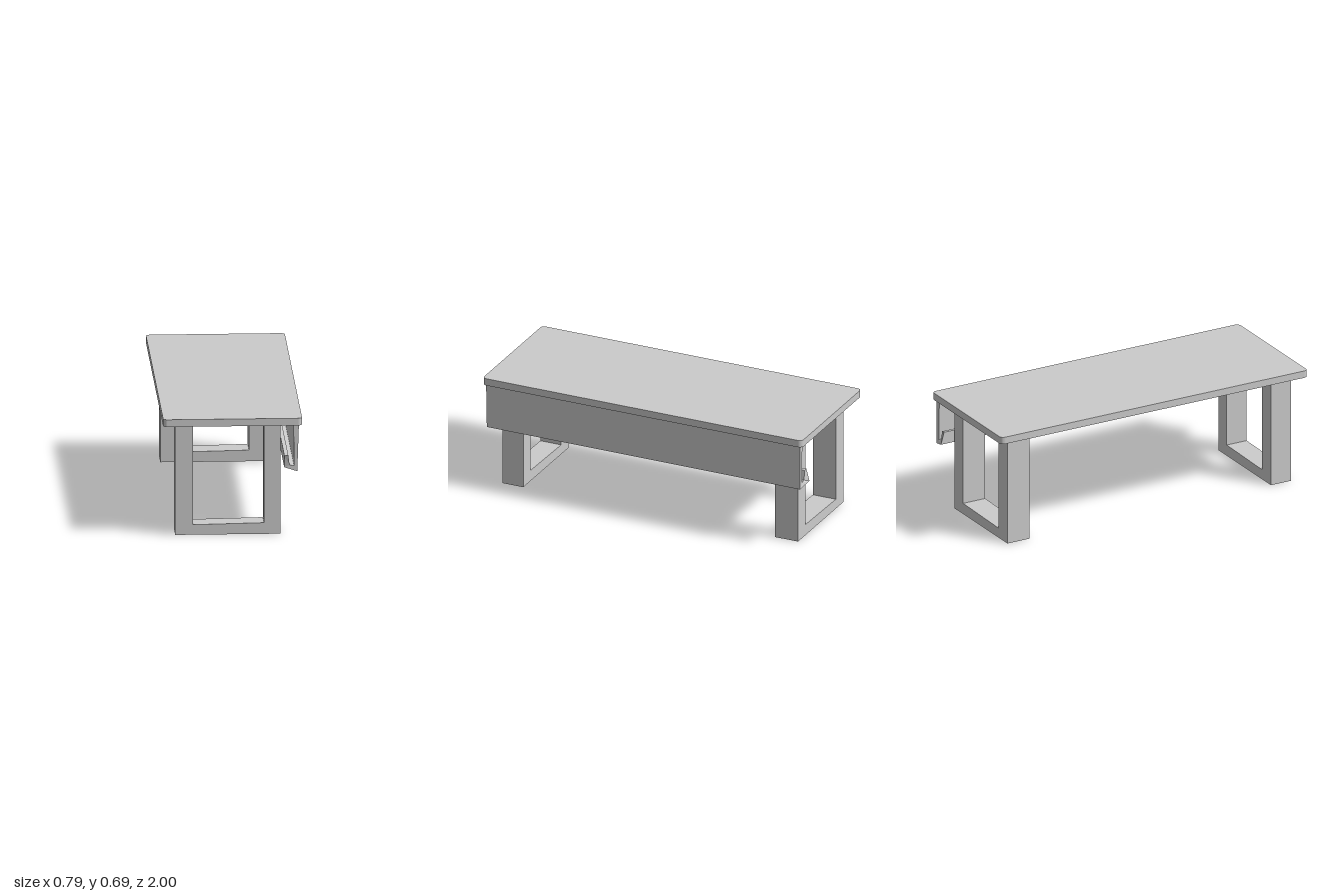
import * as THREE from 'three';

const material = new THREE.MeshStandardMaterial({ color: 0xcccccc, flatShading: true });

function polygon(points) {
  return new THREE.Shape(points.map(([x, y]) => new THREE.Vector2(x, y)));
}

function addMesh(group, name, geometry) {
  const mesh = new THREE.Mesh(geometry, material);
  mesh.name = name;
  group.add(mesh);
  return mesh;
}

// Rounded-corner slab, extruded upwards
function tabletopGeometry(w, d, h, r) {
  const x = w / 2, y = d / 2;
  const s = new THREE.Shape();
  s.moveTo(-x + r, -y);
  s.lineTo(x - r, -y);
  s.absarc(x - r, -y + r, r, -Math.PI / 2, 0);
  s.lineTo(x, y - r);
  s.absarc(x - r, y - r, r, 0, Math.PI / 2);
  s.lineTo(-x + r, y);
  s.absarc(-x + r, y - r, r, Math.PI / 2, Math.PI);
  s.lineTo(-x, -y + r);
  s.absarc(-x + r, -y + r, r, Math.PI, Math.PI * 1.5);
  return new THREE.ExtrudeGeometry(s, { depth: h, bevelEnabled: false, curveSegments: 6 })
    .rotateX(-Math.PI / 2);
}

// U-shaped leg frame between two depths
function legGeometry(zBack, zFront) {
  const shape = polygon([
    [-0.322, 0], [0.275, 0], [0.275, 0.646], [0.18, 0.646],
    [0.18, 0.065], [-0.222, 0.058], [-0.222, 0.646], [-0.322, 0.646],
  ]);
  return new THREE.ExtrudeGeometry(shape, { depth: zFront - zBack, bevelEnabled: false })
    .translate(0, 0, zBack);
}

// Hook-shaped tray with slightly skewed ends
function trayGeometry() {
  const shape = polygon([
    [0.345, 0.646], [0.348, 0.408], [0.322, 0.413], [0.315, 0.47],
    [0.292, 0.472], [0.292, 0.4], [0.366, 0.376], [0.375, 0.646],
  ]);
  const g = new THREE.ExtrudeGeometry(shape, { depth: 1, bevelEnabled: false });
  const p = g.attributes.position;
  for (let i = 0; i < p.count; i++) {
    const x = p.getX(i), y = p.getY(i);
    if (p.getZ(i) > 0.5) {
      // front end: the lip leans forward
      p.setZ(i, x < 0.32 && y > 0.45 ? 1 : 0.985);
    } else {
      // back end: the lower inner corner sticks out
      p.setZ(i, x < 0.3 && y < 0.41 ? -1 : -0.98);
      if (y < 0.38) p.setX(i, 0.375);
    }
  }
  g.computeVertexNormals();
  return g;
}

export function createModel() {
  const model = new THREE.Group();
  model.name = 'desk';

  addMesh(model, 'tabletop', tabletopGeometry(0.786, 2, 0.042, 0.025)).position.y = 0.646;
  addMesh(model, 'frontLeg', legGeometry(0.8, 0.93));
  addMesh(model, 'backLeg', legGeometry(-0.92, -0.776));
  addMesh(model, 'sideTray', trayGeometry());

  return model;
}
